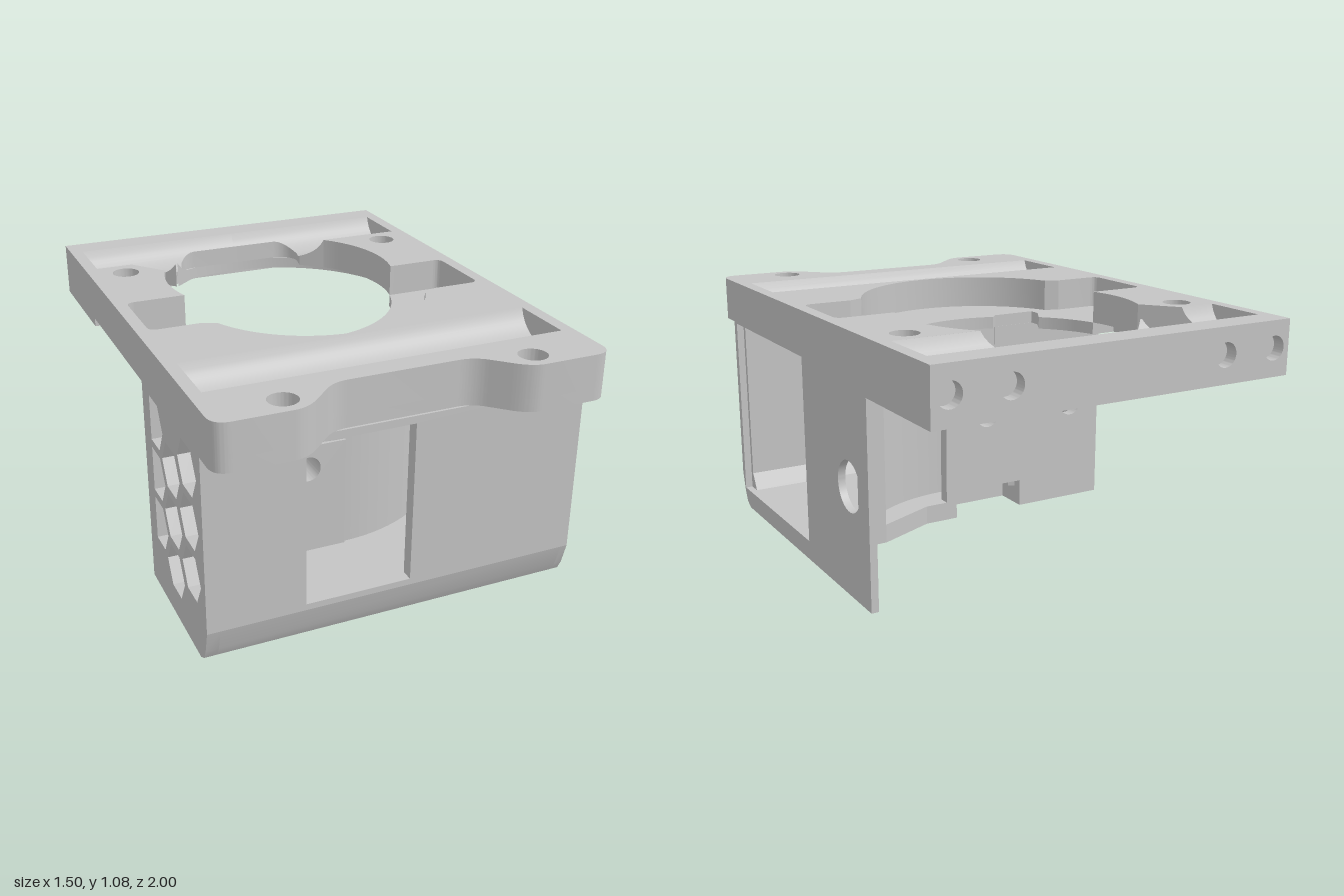
import * as THREE from 'three';
import { toCreasedNormals } from 'three/addons/utils/BufferGeometryUtils.js';

const TOP = 1.08, MID = 0.95, UNDER = 0.9;
const HOLE_Z = -0.3, HOLE_R = 0.48, POCKET_R = 0.585;
const BACK = 0.19;

export function createModel() {
  const group = new THREE.Group();
  const grey = new THREE.MeshStandardMaterial({ color: 0xc4c4c4 });
  grey.name = 'grey plastic';

  const add = (name, geometry) => {
    const mesh = new THREE.Mesh(toCreasedNormals(geometry, 0.25), grey);
    mesh.name = name;
    group.add(mesh);
  };
  const poly = (pts) => new THREE.Shape(pts.map(([a, b]) => new THREE.Vector2(a, b)));
  const rect = (a0, a1, b0, b1) => poly([[a0, b0], [a1, b0], [a1, b1], [a0, b1]]);
  const disc = (a, b, r) => new THREE.Shape().absarc(a, b, r, 0, Math.PI * 2, false);
  const hexagon = (a, b) => poly([0, 1, 2, 3, 4, 5].map((i) =>
    [Math.max(0.28, a + 0.104 * Math.cos(i * Math.PI / 3)), b + 0.104 * Math.sin(i * Math.PI / 3)]));
  const cut = (shape, ...holes) => { shape.holes.push(...holes); return shape; };
  const extrude = (shape, depth) =>
    new THREE.ExtrudeGeometry(shape, { depth, bevelEnabled: false, curveSegments: 32 });
  // plan shapes in (x, z), side shapes in (z, y), front shapes in (x, y)
  const slab = (name, shape, y0, y1) =>
    add(name, extrude(shape, y1 - y0).rotateX(Math.PI / 2).translate(0, y1, 0));
  const side = (name, shape, x0, x1) =>
    add(name, extrude(shape, x1 - x0).rotateY(-Math.PI / 2).translate(x1, 0, 0));
  const face = (name, shape, z0, z1) =>
    add(name, extrude(shape, z1 - z0).translate(0, 0, z0));
  const angle = (x, z) => Math.atan2(z - HOLE_Z, x);
  const turn = Math.PI * 2;

  // Plate outline with rounded front ears and a shallow front cutout
  const plateOutline = () => {
    const s = new THREE.Shape();
    s.moveTo(-0.75, -0.95);
    s.lineTo(0.75, -0.95);
    s.lineTo(0.75, 0.93);
    s.quadraticCurveTo(0.75, 1, 0.68, 1);
    s.lineTo(0.47, 1);
    s.quadraticCurveTo(0.42, 1, 0.37, 0.95);
    s.lineTo(0.31, 0.89);
    s.quadraticCurveTo(0.27, 0.85, 0.21, 0.85);
    s.lineTo(-0.21, 0.85);
    s.quadraticCurveTo(-0.27, 0.85, -0.31, 0.89);
    s.lineTo(-0.37, 0.95);
    s.quadraticCurveTo(-0.42, 1, -0.47, 1);
    s.lineTo(-0.68, 1);
    s.quadraticCurveTo(-0.75, 1, -0.75, 0.93);
    return s;
  };

  // Lower layer: hole with front notch, widened at the rear into a pocket and slot
  const lowerHole = new THREE.Path();
  lowerHole.moveTo(0.569, -0.165);
  lowerHole.absarc(0, HOLE_Z, HOLE_R, angle(0.46, -0.165), angle(-0.16, 0.145), false);
  for (const [x, z] of [[-0.19, 0.18], [-0.375, 0.18], [-0.375, 0.13]]) lowerHole.lineTo(x, z);
  lowerHole.absarc(0, HOLE_Z, HOLE_R, angle(-0.33, 0.05), angle(-0.46, -0.165), false);
  lowerHole.absarc(0, HOLE_Z, POCKET_R, angle(-0.569, -0.165), angle(-0.513, -0.581) + turn, false);
  lowerHole.lineTo(-0.585, -0.67);
  lowerHole.lineTo(-0.46, -0.77);
  lowerHole.absarc(0, HOLE_Z, POCKET_R, angle(-0.414, -0.714), angle(0.569, -0.165), false);
  slab('plateLowerLayer', cut(plateOutline(), lowerHole), UNDER, MID);

  // Upper layer: winged recess joined to the hole and the rear groove
  const recess = new THREE.Path();
  recess.moveTo(0.7, 0.12);
  recess.lineTo(0.7, -0.13);
  recess.quadraticCurveTo(0.7, -0.165, 0.665, -0.165);
  recess.absarc(0, HOLE_Z, HOLE_R, angle(0.46, -0.165), angle(0.353, -0.625), true);
  for (const [x, z] of [[0.7, -0.625], [0.7, -0.885], [-0.7, -0.885], [-0.7, -0.625], [-0.549, -0.625]])
    recess.lineTo(x, z);
  recess.absarc(0, HOLE_Z, HOLE_R, angle(-0.44, -0.49) + turn, angle(-0.46, -0.165), true);
  recess.lineTo(-0.665, -0.165);
  recess.quadraticCurveTo(-0.7, -0.165, -0.7, -0.13);
  recess.lineTo(-0.7, 0.12);
  recess.quadraticCurveTo(-0.7, 0.155, -0.665, 0.155);
  recess.lineTo(-0.5, 0.155);
  recess.absarc(0, -0.01, 0.48, 2.74, 0.4, true);
  recess.lineTo(0.5, 0.155);
  recess.lineTo(0.665, 0.155);
  recess.quadraticCurveTo(0.7, 0.155, 0.7, 0.12);
  const screwHoles = [[0.6, -0.53], [0.475, 0.91]].flatMap(([x, z]) => [disc(x, z, 0.055), disc(-x, z, 0.055)]);
  slab('plateUpperLayer', cut(plateOutline(), recess, rect(-0.7, 0.7, 0.49, 0.755), ...screwHoles), MID, TOP);

  // Concave rod grooves, clipped in x by two edge functions of z
  const table = (...pts) => (z) => {
    if (z <= pts[0][0]) return pts[0][1];
    for (let i = 1; i < pts.length; i++) {
      const [z0, x0] = pts[i - 1], [z1, x1] = pts[i];
      if (z <= z1) return x0 + (x1 - x0) * (z - z0) / (z1 - z0);
    }
    return pts[pts.length - 1][1];
  };
  const groove = (name, [g0, g1], xa, xb, keys = [], z0 = g0, z1 = g1) => {
    const half = (g1 - g0) / 2, c = (g0 + g1) / 2, depth = 0.098;
    const r = (half * half + depth * depth) / (2 * depth);
    const zs = [...Array.from({ length: 25 }, (_, i) => z0 + (z1 - z0) * i / 24),
      ...keys.filter((z) => z > z0 && z < z1)].sort((a, b) => a - b);
    const pos = [], index = [];
    zs.forEach((z, i) => {
      const y = TOP + r - depth - Math.sqrt(r * r - (z - c) ** 2), a = xa(z), b = xb(z);
      pos.push(a, MID, z, a, y, z, b, y, z, b, MID, z);
      if (i) for (let j = 0; j < 4; j++) {
        const k = (i - 1) * 4, p = k + j, n = k + (j + 1) % 4;
        index.push(p, p + 4, n, n, p + 4, n + 4);
      }
    });
    const g = new THREE.BufferGeometry();
    g.setAttribute('position', new THREE.Float32BufferAttribute(pos, 3));
    g.setIndex(index);
    add(name, g);
  };
  // Half width of the rear bay: straight back, rounded corners, slight neck
  const neck = table([-0.77, 0.28], [-0.7, 0.265], [-0.625, 0.353]);
  const bay = (z) => {
    if (z < -0.8551) return 0;
    return z < -0.77 ? 0.195 + Math.sqrt(Math.max(0, 0.085 ** 2 - (z + 0.77) ** 2)) : neck(z);
  };
  const keys = [-0.8552, -0.855, -0.853, -0.848, -0.84, -0.7701, -0.77, -0.7, -0.67, -0.635];
  const slotLeft = table([-0.77, -0.46], [-0.67, -0.585], [-0.625, -0.549]);
  const slotRight = table([-0.77, -0.46], [-0.635, -0.35]);
  const rear = [-0.885, -0.625];
  groove('frontGroove', [0.49, 0.755], () => -0.7, () => 0.7);
  groove('rearGrooveLeft', rear, bay, () => 0.7, keys);
  groove('rearGrooveRight', rear, () => -0.7, (z) => (z < -0.77 ? -bay(z) : slotLeft(z)), keys);
  groove('rearGroovePeg', rear, slotRight, (z) => Math.max(-bay(z), slotRight(z)), keys, -0.77, -0.635);

  // Rear rim with four rod sockets, and short side rims
  face('rearRim', cut(rect(-0.75, 0.75, 0.865, TOP),
    ...[-0.68, -0.45, 0.45, 0.68].map((x) => disc(x, 0.975, 0.047))), -1, -0.95);
  slab('sideRimLeft', rect(0.72, 0.75, -0.95, -0.52), 0.865, UNDER);
  slab('sideRimRight', rect(-0.75, -0.72, -0.95, -0.52), 0.865, UNDER);

  // Half-round shelf hanging below the front notch
  const arcBand = (cx, cz, r0, r1, a0, a1) => new THREE.Shape()
    .absarc(cx, cz, r1, a0, a1, false).absarc(cx, cz, r0, a1, a0, true);
  slab('notchShelf', new THREE.Shape().absarc(-0.28, 0.14, 0.1, 0.4, Math.PI - 0.4, false), 0.82, UNDER);

  // Side walls: left has a window and round hole, right a honeycomb grille
  const wall = (back) => poly([[back, UNDER], [back, 0.05], [0.78, 0.05], [0.815, 0.07], [0.835, 0.11], [0.86, 0.2], [0.86, UNDER]]);
  side('leftWall', cut(wall(-0.52), rect(0.07, 0.83, 0.13, 0.895), disc(-0.35, 0.49, 0.1)), 0.72, 0.75);
  const hexes = [];
  for (let i = 0; i < 3; i++) {
    const y = 0.365 + i * 0.2125;
    hexes.push(hexagon(0.71, y), hexagon(0.515, y - 0.107), hexagon(0.33, y));
  }
  side('rightWall', cut(wall(BACK), ...hexes), -0.75, -0.7);

  // Front wall with access window and sloped lower edge
  face('frontWall', cut(rect(-0.7, 0.72, 0.2, UNDER), rect(-0.37, 0.05, 0.225, 0.87)), 0.81, 0.86);
  side('frontLowerEdge', poly([[0.86, 0.2], [0.835, 0.11], [0.815, 0.07], [0.78, 0.05], [0.77, 0.05], [0.77, 0.13], [0.81, 0.2]]), -0.7, 0.72);

  // Floor with rear notch and its cover
  slab('floor', poly([[-0.7, BACK], [-0.33, BACK], [-0.33, 0.34], [0, 0.34], [0, BACK], [0.15, BACK],
    [0.4, 0.08], [0.72, 0.08], [0.72, 0.78], [-0.7, 0.78]]), 0.05, 0.13);
  slab('notchCover', rect(-0.33, 0, BACK, 0.39), 0.17, 0.2);
  slab('notchFront', rect(-0.33, 0, 0.34, 0.39), 0.13, 0.17);

  // Back wall with bolt holes and a block around the central one
  const boltHole = () => disc(-0.16, 0.5, 0.052);
  face('backWall', cut(poly([[-0.7, 0.13], [-0.33, 0.13], [-0.33, 0.18], [0, 0.18], [0, 0.13], [0.05, 0.13], [0.05, UNDER], [-0.7, UNDER]]),
    boltHole(), disc(-0.6, 0.5, 0.055)), BACK, 0.24);
  face('boltBlock', cut(rect(-0.33, 0, 0.2, 0.6), boltHole()), 0.24, 0.39);

  // Curved wall, split around the bolt block, leading to the screw bracket
  const curved = (name, x0, x1, y0) => slab(name, arcBand(0, HOLE_Z, 0.63, 0.68,
    Math.acos(x1 / 0.68), Math.acos(x0 / 0.68)), y0, UNDER);
  curved('curvedWallLeft', 0, 0.45, 0.13);
  curved('curvedWallMiddle', -0.33, 0, 0.6);
  curved('curvedWallRight', -0.42, -0.33, 0.13);
  side('screwBracket', cut(rect(0.08, 0.25, 0.13, UNDER), disc(0.15, 0.82, 0.036), disc(0.15, 0.22, 0.042)), 0.4, 0.45);

  // Hollow oval feet
  for (const x of [-0.63, 0.63]) {
    const foot = new THREE.Shape().absellipse(x, 0.55, 0.063, 0.082, 0, turn, false, 0);
    slab('foot', cut(foot, new THREE.Path().absellipse(x, 0.55, 0.043, 0.06, 0, turn, false, 0)), 0, 0.05);
  }
  return group;
}
